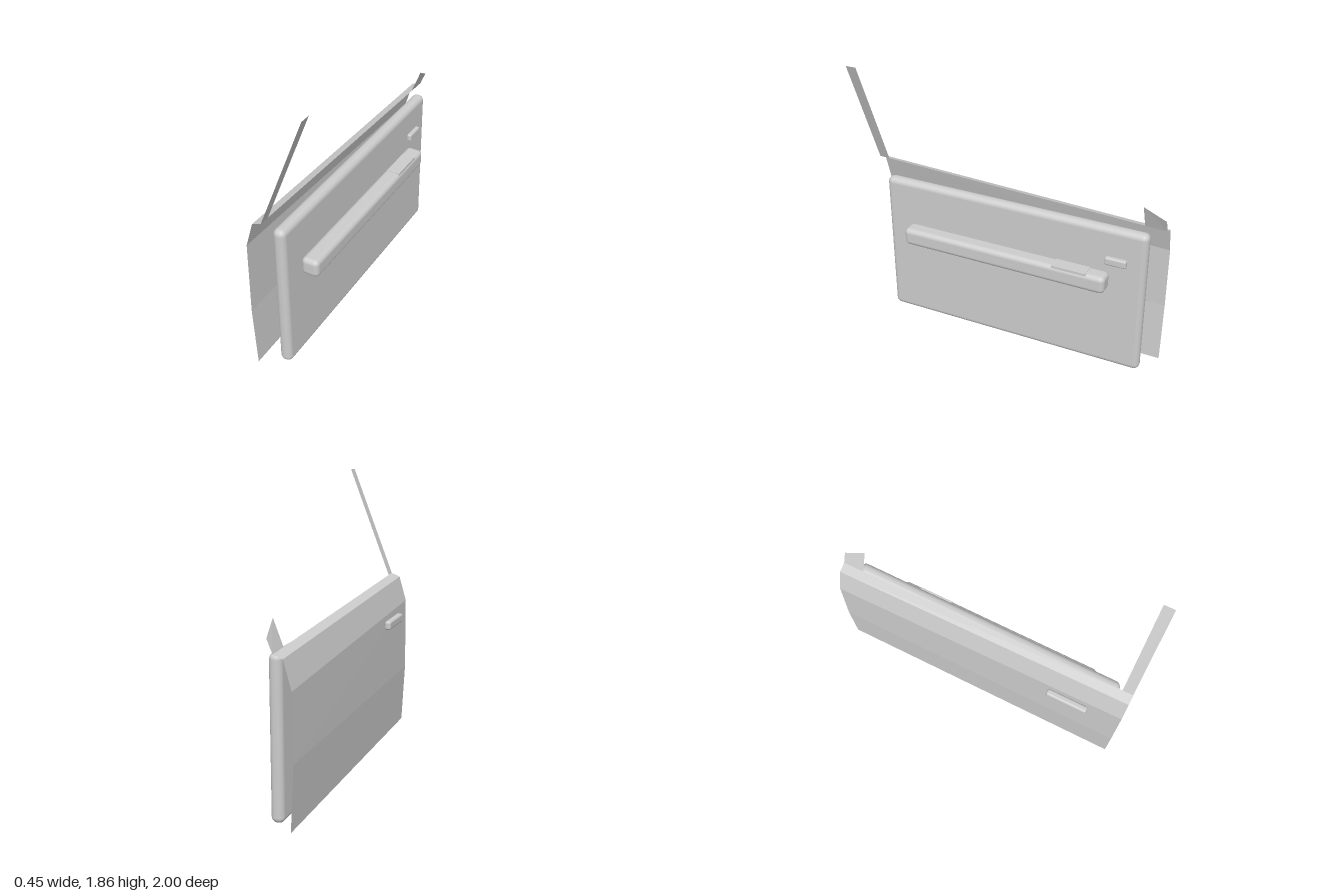
import * as THREE from 'three';
import { RoundedBoxGeometry } from 'three/addons/geometries/RoundedBoxGeometry.js';

const grey = new THREE.MeshStandardMaterial({ color: 0xcccccc, side: THREE.DoubleSide });
grey.name = 'light grey';

// Thin sheet spanned between two rows of [x, y, z] points, with crisp creases
function sheet(rowA, rowB) {
  const p = [];
  for (let i = 0; i < rowA.length - 1; i++) {
    const a = rowA[i], b = rowB[i], c = rowB[i + 1], d = rowA[i + 1];
    p.push(...a, ...b, ...c, ...a, ...c, ...d);
  }
  const g = new THREE.BufferGeometry();
  g.setAttribute('position', new THREE.Float32BufferAttribute(p, 3));
  g.computeVertexNormals();
  return g;
}

// Rounded box given by its minimum and maximum corners
function pad(min, max, radius) {
  const size = max.map((v, i) => v - min[i]);
  const g = new RoundedBoxGeometry(...size, 4, radius);
  g.translate(...max.map((v, i) => (v + min[i]) / 2));
  return g;
}

export function createModel() {
  const door = new THREE.Group();
  door.name = 'door';
  const add = (name, geometry) => {
    const mesh = new THREE.Mesh(geometry, grey);
    mesh.name = name;
    door.add(mesh);
  };

  // Creased outer skin; the waistline slopes down towards -z
  const front = [[-0.165, 0.02], [-0.185, 0.43], [-0.18, 0.93], [-0.13, 1.1], [-0.07, 1.123]];
  const back = [[-0.165, 0.02], [-0.185, 0.43], [-0.18, 0.85], [-0.13, 1.025], [-0.07, 1.045]];
  add('outerSkin', sheet(back.map(p => [...p, -1]), front.map(p => [...p, 1])));

  // Window pillar and corner sail above the waistline
  add('windowPillar', sheet(
    [[-0.07, 1.12, 0.93], [0.223, 1.86, 0.93]],
    [[-0.07, 1.123, 1], [0.223, 1.86, 1]]));
  add('cornerSail', sheet(
    [[-0.07, 1.045, -1], [-0.035, 1.13, -1]],
    [[-0.07, 1.05, -0.86], [-0.008, 1.21, -0.86]]));

  // Inner trim
  add('innerPanel', pad([-0.073, 0.005, -0.91], [0.01, 1.02, 0.91], 0.038));
  add('armrest', pad([0, 0.6, -0.682], [0.117, 0.72, 0.735], 0.032));
  const switches = new THREE.BoxGeometry(0.09, 0.02, 0.23);
  switches.translate(0.066, 0.713, -0.445);
  add('switchPlate', switches);
  add('innerHandle', pad([0, 0.775, -0.79], [0.037, 0.828, -0.65], 0.012));

  // Outer pull handle
  add('outerHandle', pad([-0.229, 0.825, 0.508], [-0.186, 0.885, 0.785], 0.015));

  return door;
}
